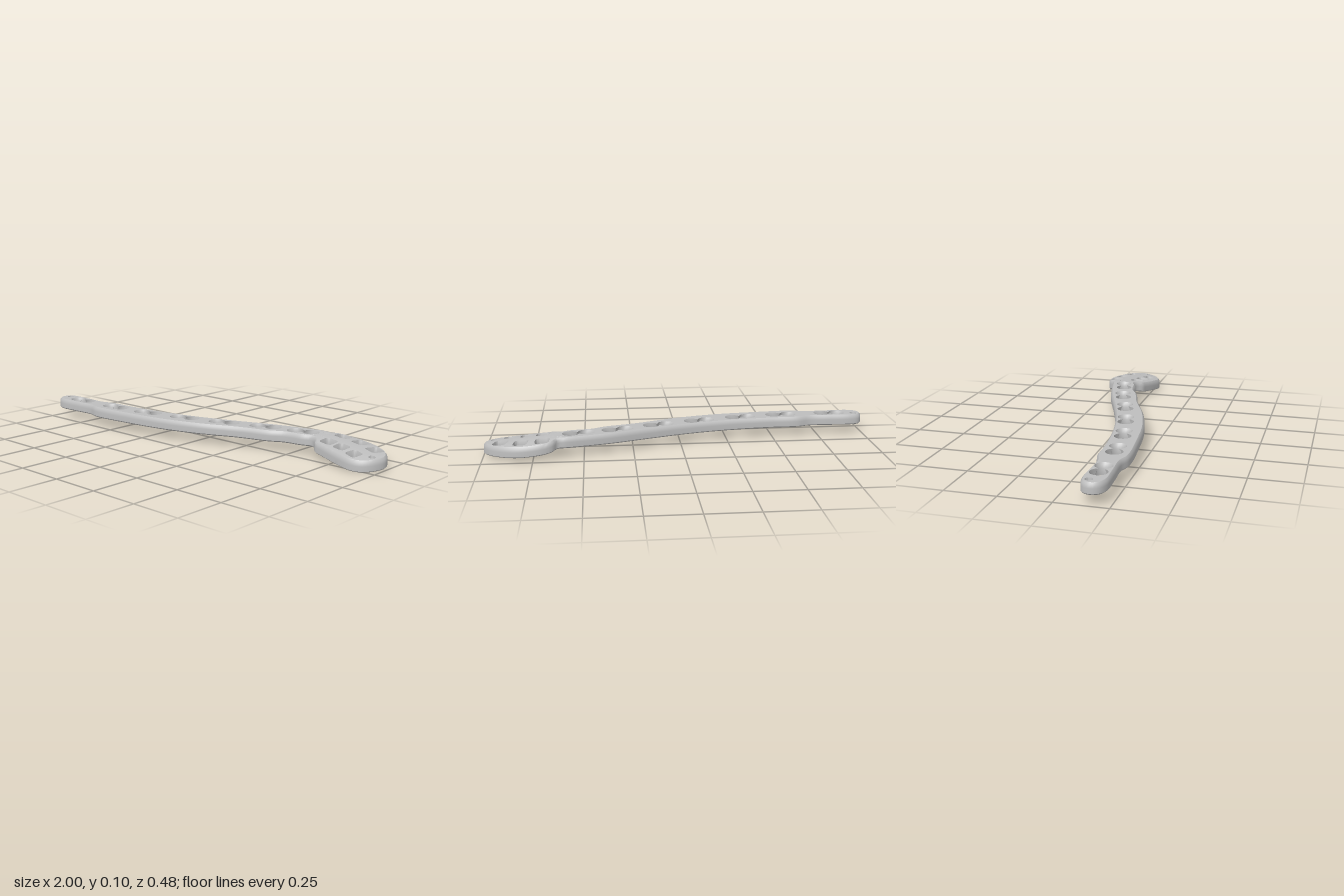
import * as THREE from 'three';
import { toCreasedNormals } from 'three/addons/utils/BufferGeometryUtils.js';

const V2 = (x, z) => new THREE.Vector2(x, z);

// Plate outline seen from above (x, z), closed
const OUTLINE = [
  [-1, 0.163], [-0.982, 0.122], [-0.935, 0.107], [-0.82, 0.107], [-0.71, 0.108], [-0.64, 0.088], [-0.5, 0.083],
  [-0.29, 0.061], [-0.08, 0.018], [0.136, -0.05], [0.35, -0.126], [0.51, -0.168], [0.59, -0.184],
  [0.628, -0.186], [0.65, -0.216], [0.69, -0.234], [0.75, -0.241], [0.83, -0.233], [0.91, -0.2], [0.97, -0.152],
  [1, -0.09], [0.982, -0.03], [0.94, 0.013], [0.885, 0.029], [0.8, 0.018], [0.69, -0.008], [0.655, -0.018],
  [0.634, -0.045], [0.607, -0.056], [0.565, -0.04], [0.46, -0.022], [0.4, 0.01], [0.24, 0.057], [0.03, 0.14],
  [-0.185, 0.195], [-0.4, 0.222], [-0.63, 0.236], [-0.7, 0.218], [-0.82, 0.222], [-0.94, 0.222], [-0.985, 0.2],
];

// Paired screw holes along the shaft: x, z, slope of the shaft there
const SLOTS = [
  [-0.824, 0.163, 0], [-0.556, 0.155, -0.05], [-0.33, 0.128, -0.17], [-0.104, 0.08, -0.24],
  [0.115, 0.019, -0.29], [0.329, -0.051, -0.31], [0.527, -0.099, -0.27],
];

// Rounded square holes of the head: x, z, half size, slope
const WINDOWS = [
  [0.704, -0.184, 0.031, 0.05], [0.81, -0.174, 0.031, 0.15], [0.912, -0.136, 0.031, 0.35],
  [0.704, -0.064, 0.03, 0.05], [0.784, -0.053, 0.028, 0.12], [0.869, -0.029, 0.027, 0.3],
];

// Pin holes: x, z, radius
const PINS = [[-0.955, 0.147, 0.015], [0.952, -0.05, 0.013]];

// Layers from bottom to top: height, edge inset, countersink amount
const LAYERS = [[0, 0.006, 0], [0.006, 0, 0], [0.03, 0, 0], [0.046, 0.002, 0.5], [0.055, 0.01, 1]];

const curve = new THREE.CatmullRomCurve3(OUTLINE.map(([x, z]) => new THREE.Vector3(x, 0, z)), true, 'centripetal');

function outlineRing(inset) {
  const n = 300;
  return Array.from({ length: n }, (_, i) => {
    const p = curve.getPointAt(i / n), t = curve.getTangentAt(i / n);
    return V2(p.x - t.z * inset, p.z + t.x * inset);
  });
}

const place = (points, x, z, slope) =>
  points.map((p) => p.rotateAround(V2(0, 0), Math.atan(slope)).add(V2(x, z)));

// Two overlapping circles that widen to one long countersink
function slotRing([x, z, slope], k) {
  const d = 0.032 + 0.009 * k, r = 0.038 + 0.004 * k, n = 18, points = [];
  const cusp = Math.PI - Math.acos(Math.min(1, d / r));
  for (const side of [1, -1]) {
    for (let i = 0; i < n; i++) {
      const a = cusp * (1 - (2 * (i + 0.5)) / n);
      points.push(V2(side * (d + r * Math.cos(a)), side * r * Math.sin(a)));
    }
  }
  return place(points, x, z, slope);
}

function windowRing([x, z, half, slope], k) {
  const s = half + 0.005 * k, round = (v) => Math.sign(v) * Math.sqrt(Math.abs(v));
  const points = Array.from({ length: 32 }, (_, i) => {
    const a = (-i / 32) * Math.PI * 2;
    return V2(s * round(Math.cos(a)), s * round(Math.sin(a)));
  });
  return place(points, x, z, slope);
}

function pinRing([x, z, r], k) {
  const points = Array.from({ length: 20 }, (_, i) => {
    const a = (-i / 20) * Math.PI * 2, s = r + 0.003 * k;
    return V2(s * Math.cos(a), s * Math.sin(a));
  });
  return place(points, x, z, 0);
}

// The shaft is level; the head slopes down and wraps over sideways
function bend(p) {
  const along = Math.max(0, (p.x - 0.62) / 0.38);
  const blend = THREE.MathUtils.smoothstep(p.x, 0.58, 0.68);
  p.y += 0.047 - 0.04 * along - 0.8 * blend * (p.z + 0.13) ** 2;
  return p;
}

function plateGeometry() {
  const triangles = [];
  const at = (p, y) => new THREE.Vector3(p.x, y, p.y);

  const layers = LAYERS.map(([y, inset, k]) => ({
    y,
    rings: [
      outlineRing(inset),
      ...SLOTS.map((s) => slotRing(s, k)),
      ...WINDOWS.map((w) => windowRing(w, k)),
      ...PINS.map((p) => pinRing(p, k)),
    ],
  }));

  // Walls of the rim and of every hole
  for (let l = 0; l + 1 < layers.length; l++) {
    const low = layers[l], high = layers[l + 1];
    low.rings.forEach((ring, r) => {
      const flip = (THREE.ShapeUtils.area(ring) > 0) !== (r === 0);
      ring.forEach((p, i) => {
        const j = (i + 1) % ring.length;
        const a = at(p, low.y), b = at(ring[j], low.y);
        const c = at(high.rings[r][i], high.y), d = at(high.rings[r][j], high.y);
        if (flip) triangles.push([a, b, c], [b, d, c]);
        else triangles.push([a, c, b], [b, c, d]);
      });
    });
  }

  // Underside and top face
  for (const [layer, up] of [[layers[0], false], [layers[layers.length - 1], true]]) {
    const [outer, ...holes] = layer.rings;
    const points = layer.rings.flat();
    for (const face of THREE.ShapeUtils.triangulateShape(outer, holes)) {
      const corners = face.map((i) => points[i]);
      if ((THREE.ShapeUtils.area(corners) > 0) === up) corners.reverse();
      triangles.push(corners.map((p) => at(p, layer.y)));
    }
  }

  // Halve long edges so the faces can follow the bend
  const positions = [];
  while (triangles.length) {
    const t = triangles.pop();
    const lengths = t.map((p, i) => p.distanceTo(t[(i + 1) % 3]));
    const longest = Math.max(...lengths);
    if (longest > 0.05) {
      const i = lengths.indexOf(longest);
      const a = t[i], b = t[(i + 1) % 3], c = t[(i + 2) % 3];
      const m = a.clone().add(b).multiplyScalar(0.5);
      triangles.push([a, m, c], [m, b, c]);
    } else {
      for (const p of t) positions.push(...bend(p.clone()).toArray());
    }
  }

  const geometry = new THREE.BufferGeometry();
  geometry.setAttribute('position', new THREE.Float32BufferAttribute(positions, 3));
  geometry.computeBoundingBox();
  geometry.translate(0, -geometry.boundingBox.min.y, 0);
  return toCreasedNormals(geometry, 0.7);
}

export function createModel() {
  const metal = new THREE.MeshStandardMaterial({ color: 0xbebebe });
  metal.name = 'brushed metal';
  const plate = new THREE.Mesh(plateGeometry(), metal);
  plate.name = 'bonePlate';
  const model = new THREE.Group();
  model.name = 'curvedBonePlate';
  model.add(plate);
  return model;
}
